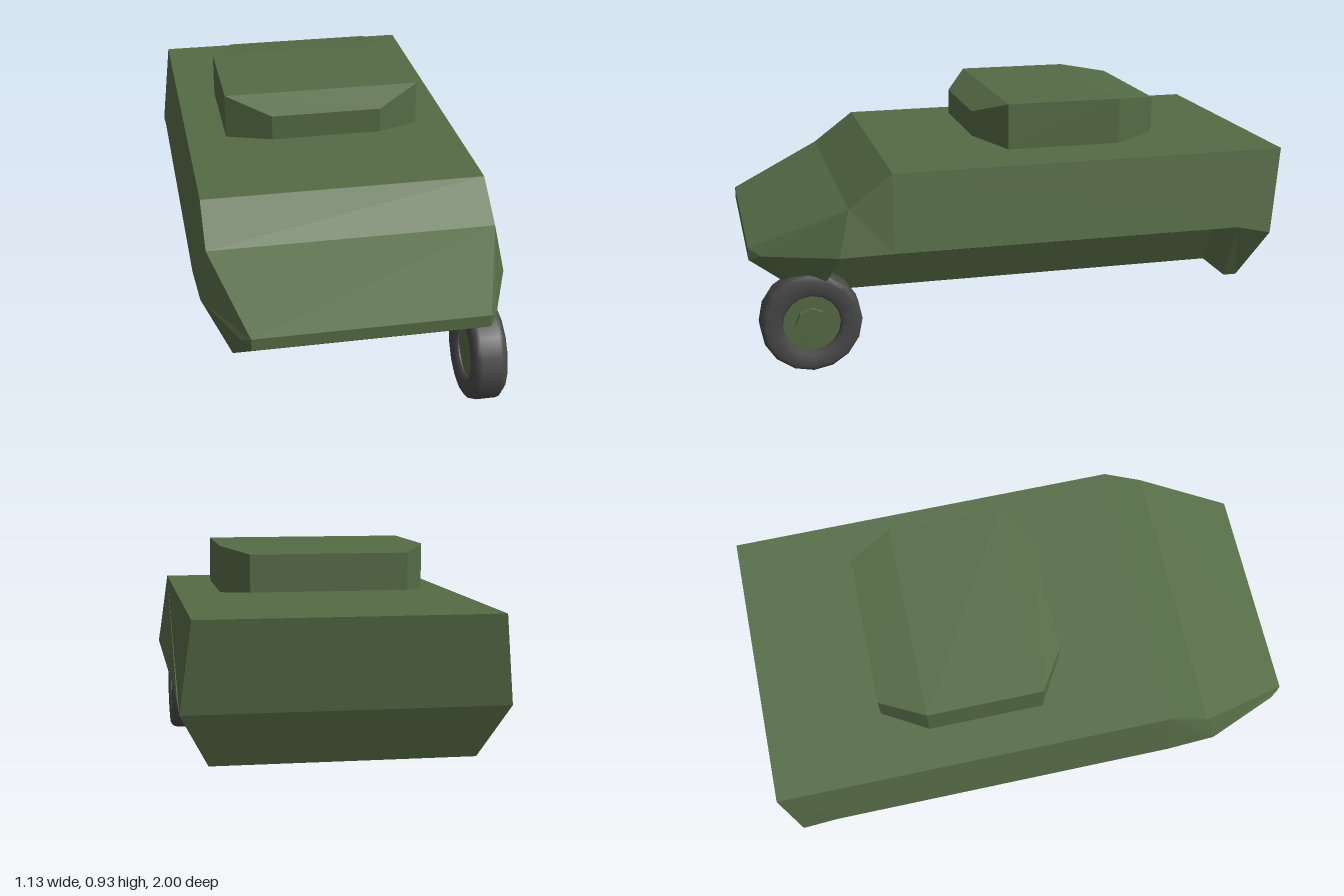
import * as THREE from 'three';

const green = new THREE.MeshStandardMaterial({ color: 0x556b45, flatShading: true });
const rubber = new THREE.MeshStandardMaterial({ color: 0x484848 });

// Flat-shaded geometry from convex polygons, each cut into a fan of triangles
function polyGeometry(polygons) {
  const pos = [];
  for (const p of polygons)
    for (let i = 1; i < p.length - 1; i++) pos.push(...p[0], ...p[i], ...p[i + 1]);
  const g = new THREE.BufferGeometry();
  g.setAttribute('position', new THREE.Float32BufferAttribute(pos, 3));
  g.computeVertexNormals();
  return g;
}

function part(name, geometry, material, parent) {
  const m = new THREE.Mesh(geometry, material);
  m.name = name;
  parent.add(m);
  return m;
}

const flip = ([x, y, z]) => [-x, y, z];

// Hull corners of the left half; the right half is mirrored
function hullGeometry() {
  const v = {
    A: [0.415, 0.465, 1], B: [0.415, 0.42, 1], C: [0.445, 0.44, 0.96], // nose
    D: [0.525, 0.615, 0.65], E: [0.525, 0.735, 0.49], F: [0.525, 0.74, -1], // roof edge
    G: [0.565, 0.42, -0.955], H: [0.465, 0.225, -0.87], // tail
    I: [0.465, 0.225, -0.82], J: [0.565, 0.45, -0.82], // rear end of the wheel bay
    K: [0.37, 0.455, -0.82], L: [0.26, 0.225, -0.82],
    M: [0.37, 0.455, 0.69], N: [0.26, 0.225, 0.72], // front end of the wheel bay
    O: [0.455, 0.26, 0.77], P: [0.555, 0.445, 0.69], Q: [0.565, 0.45, 0.5],
  };
  const polygons = [];
  // Side plates, cheeks, wheel bay walls
  for (const s of ['EQJGF', 'DPQE', 'DACP', 'ABC', 'CBOP', 'JIHG', 'MNLK', 'PMKJQ', 'PONM', 'JKLI']) {
    const side = [...s].map((k) => v[k]);
    polygons.push(side, side.map(flip).reverse());
  }
  // Plates that span the full width
  for (const s of ['FE', 'ED', 'DA', 'AB', 'NL', 'IH', 'HG', 'GF']) {
    const [a, b] = [...s].map((k) => v[k]);
    polygons.push([a, flip(a), flip(b), b]);
  }
  // Lower nose plate
  polygons.push([v.B, flip(v.B), flip(v.O), flip(v.N), v.N, v.O]);
  return polyGeometry(polygons);
}

// Turret: rectangular cross-sections [z, half width, bottom, top] from front to back
function turretGeometry() {
  const rings = [
    [0.13, 0.21, 0.78, 0.875], [0.03, 0.377, 0.76, 0.93],
    [-0.4, 0.377, 0.76, 0.93], [-0.565, 0.285, 0.775, 0.91],
  ].map(([z, w, lo, hi]) => [[-w, lo, z], [w, lo, z], [w, hi, z], [-w, hi, z]]);
  const polygons = [rings[0], [...rings[3]].reverse()];
  for (let r = 0; r < 3; r++)
    for (let i = 0; i < 4; i++) {
      const j = (i + 1) % 4;
      polygons.push([rings[r][i], rings[r + 1][i], rings[r + 1][j], rings[r][j]]);
    }
  return polyGeometry(polygons);
}

// Wheel about the local y axis, laid over so that its outer face looks along +x
function makeWheel() {
  const wheel = new THREE.Group();
  wheel.name = 'frontWheel';
  const profile = [
    [0.105, -0.045], [0.115, -0.06], [0.165, -0.0625], [0.18, -0.05], [0.185, -0.035],
    [0.185, 0.035], [0.18, 0.05], [0.165, 0.0625], [0.115, 0.06], [0.105, 0.045], [0.105, -0.045],
  ].map(([r, y]) => new THREE.Vector2(r, y));
  part('tyre', new THREE.LatheGeometry(profile, 16), rubber, wheel);
  part('rim', new THREE.CylinderGeometry(0.106, 0.106, 0.08, 16), green, wheel);
  const hub = part('hub', new THREE.CylinderGeometry(0.06, 0.06, 0.06, 8), green, wheel);
  hub.position.y = 0.03;
  wheel.rotation.z = -Math.PI / 2;
  wheel.position.set(0.4425, 0.185, 0.79);
  return wheel;
}

export function createModel() {
  const model = new THREE.Group();
  model.name = 'armouredVehicle';
  part('hull', hullGeometry(), green, model);
  part('turret', turretGeometry(), green, model);
  model.add(makeWheel());
  return model;
}
